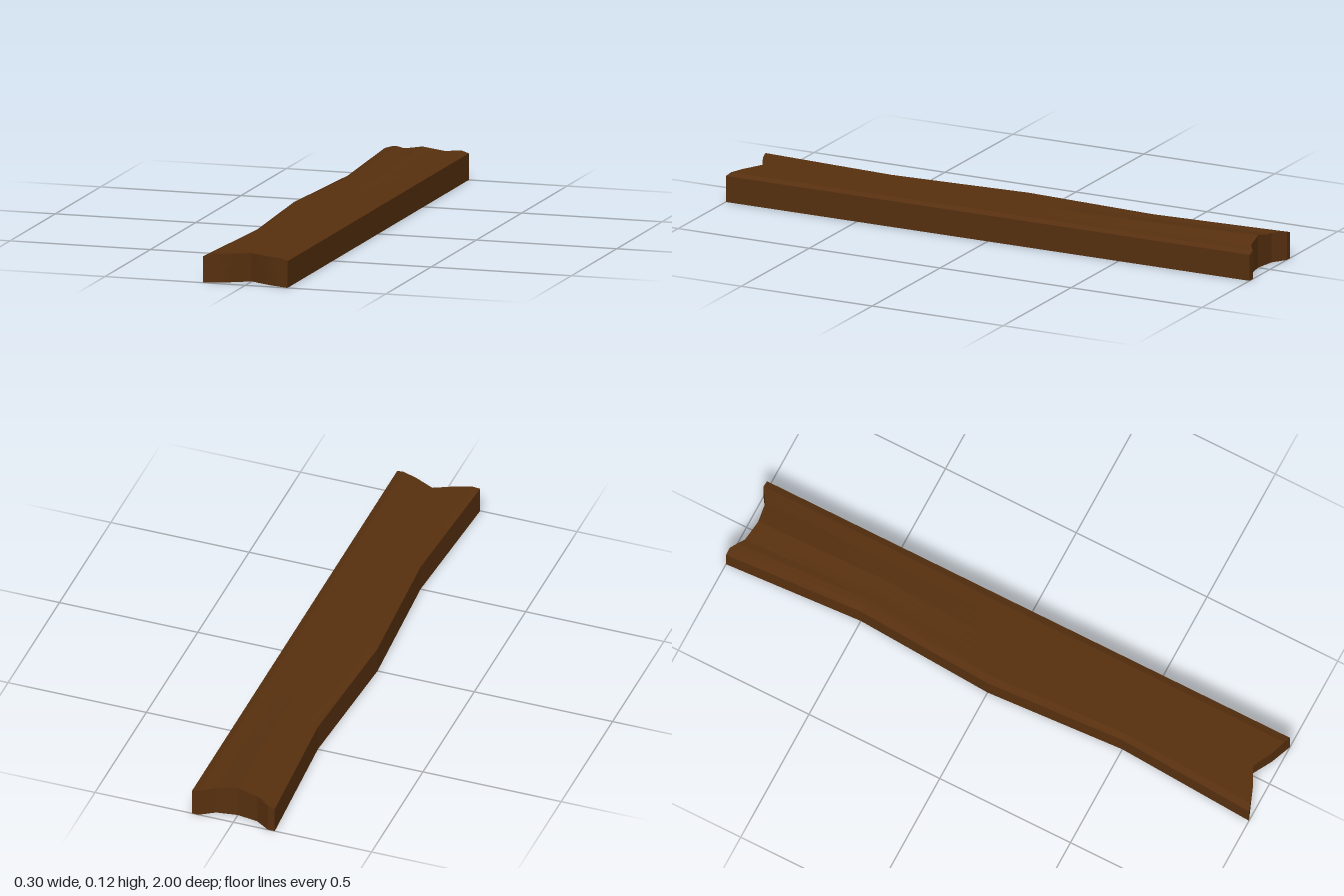
import * as THREE from 'three';

// Piecewise-linear lookup through [position, value] points
function lerpPoints(points, p) {
  for (let i = 1; i < points.length; i++) {
    const [a, va] = points[i - 1], [b, vb] = points[i];
    if (p <= b) return va + (vb - va) * Math.max(0, (p - a) / (b - a));
  }
  return points[points.length - 1][1];
}

// Worn ends, rounded top edges and wavy left edge of the plank
const backEnd = [[-0.15, -1], [-0.125, -1], [-0.075, -0.967], [0, -0.955], [0.075, -0.967], [0.125, -1], [0.15, -1]];
const frontEnd = [[-0.15, 1], [-0.075, 0.975], [0, 0.938], [0.075, 0.975], [0.15, 1]];
const topProfile = [[-0.15, 0.092], [-0.125, 0.1], [0.125, 0.1], [0.15, 0.092]];
const backTop = [[-0.15, 0.092], [-0.125, 0.1], [-0.1, 0.105], [-0.065, 0.103], [0, 0.115], [0.075, 0.102], [0.125, 0.1], [0.15, 0.092]];
const waist = [[-1, 0], [-0.5, 0.03], [0, 0], [0.5, 0.03], [1, 0]];

export function createModel() {
  const group = new THREE.Group();
  group.name = 'woodenPlank';

  const geometry = new THREE.BoxGeometry(0.3, 1, 2, 12, 3, 8);
  const pos = geometry.attributes.position;
  for (let i = 0; i < pos.count; i++) {
    const x = pos.getX(i), s = pos.getZ(i), h = pos.getY(i) + 0.5;

    // Top surface rises gently towards the back
    const rise = Math.max(0, -s);
    const top = THREE.MathUtils.lerp(lerpPoints(topProfile, x), lerpPoints(backTop, x), rise);

    // Front notch is cut slightly deeper below the top edge
    const undercut = 0.01 * (1 - h) * Math.max(0, 1 - Math.abs(x) / 0.15);
    const z = THREE.MathUtils.lerp(lerpPoints(backEnd, x), lerpPoints(frontEnd, x) - undercut, (s + 1) / 2);

    // Only the left-hand side is drawn in; the opposite edge stays straight
    const shift = lerpPoints(waist, s) * (0.15 - x) / 0.3;
    pos.setXYZ(i, x + shift, h * top, z);
  }
  geometry.computeVertexNormals();

  const plank = new THREE.Mesh(geometry, new THREE.MeshStandardMaterial({ color: 0x57300f, flatShading: true }));
  plank.name = 'plank';
  group.add(plank);
  return group;
}
